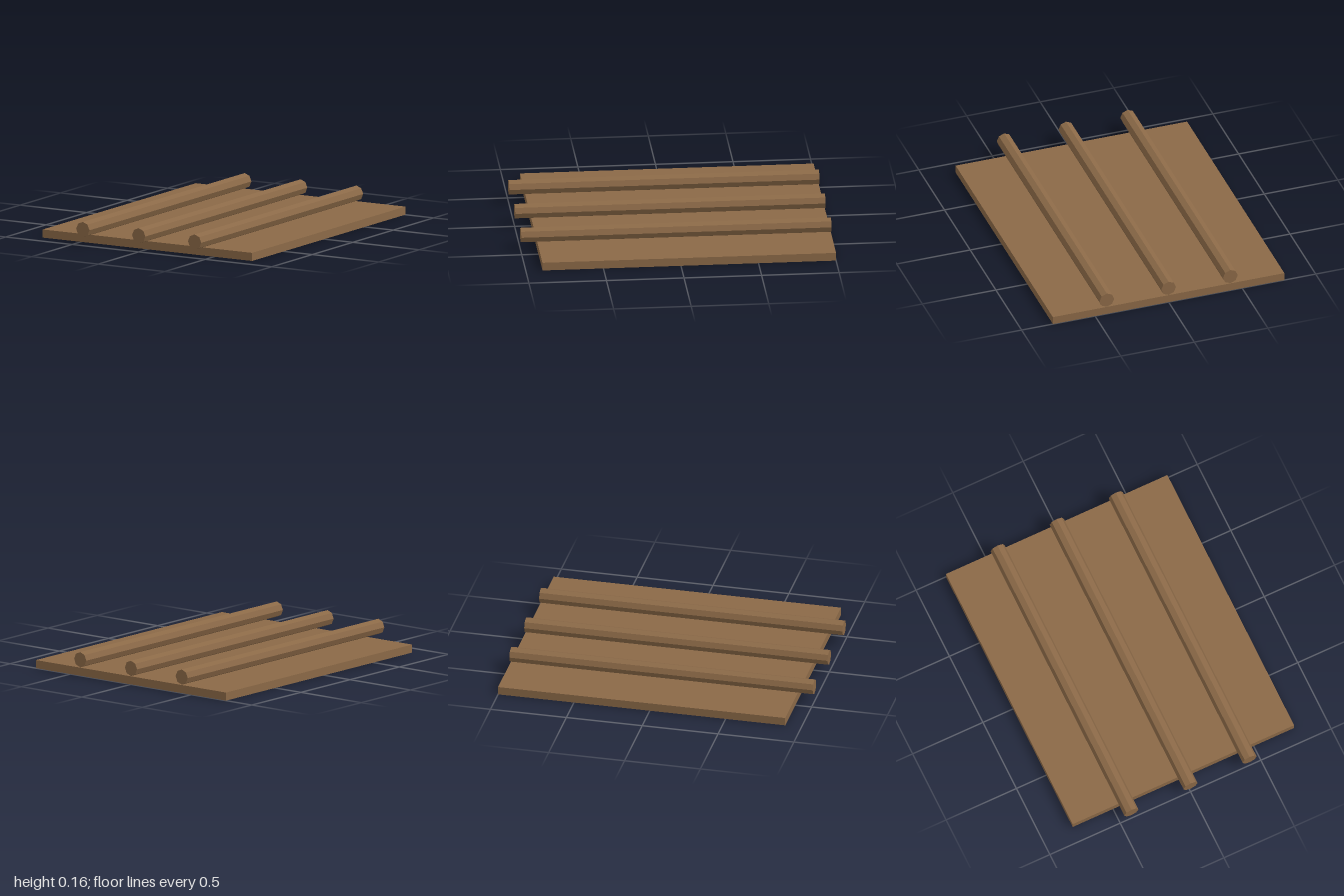
import * as THREE from 'three';

export function createModel() {
  const model = new THREE.Group();
  const wood = new THREE.MeshStandardMaterial({ color: 0x8b6947, flatShading: true });

  // Flat plank, flush with the poles at the back and shorter at the front
  const board = new THREE.Mesh(new THREE.BoxGeometry(1.574, 0.053, 1.893), wood);
  board.name = 'board';
  board.position.set(0, 0.0265, -0.0535);
  model.add(board);

  // Three octagonal poles lying front to back on the board
  const poleGeometry = new THREE.CylinderGeometry(0.05, 0.05, 2, 8).rotateX(Math.PI / 2);
  ['rightPole', 'middlePole', 'leftPole'].forEach((name, i) => {
    const pole = new THREE.Mesh(poleGeometry, wood);
    pole.name = name;
    pole.position.set((i - 1) * 0.42, 0.105, 0);
    model.add(pole);
  });

  return model;
}
